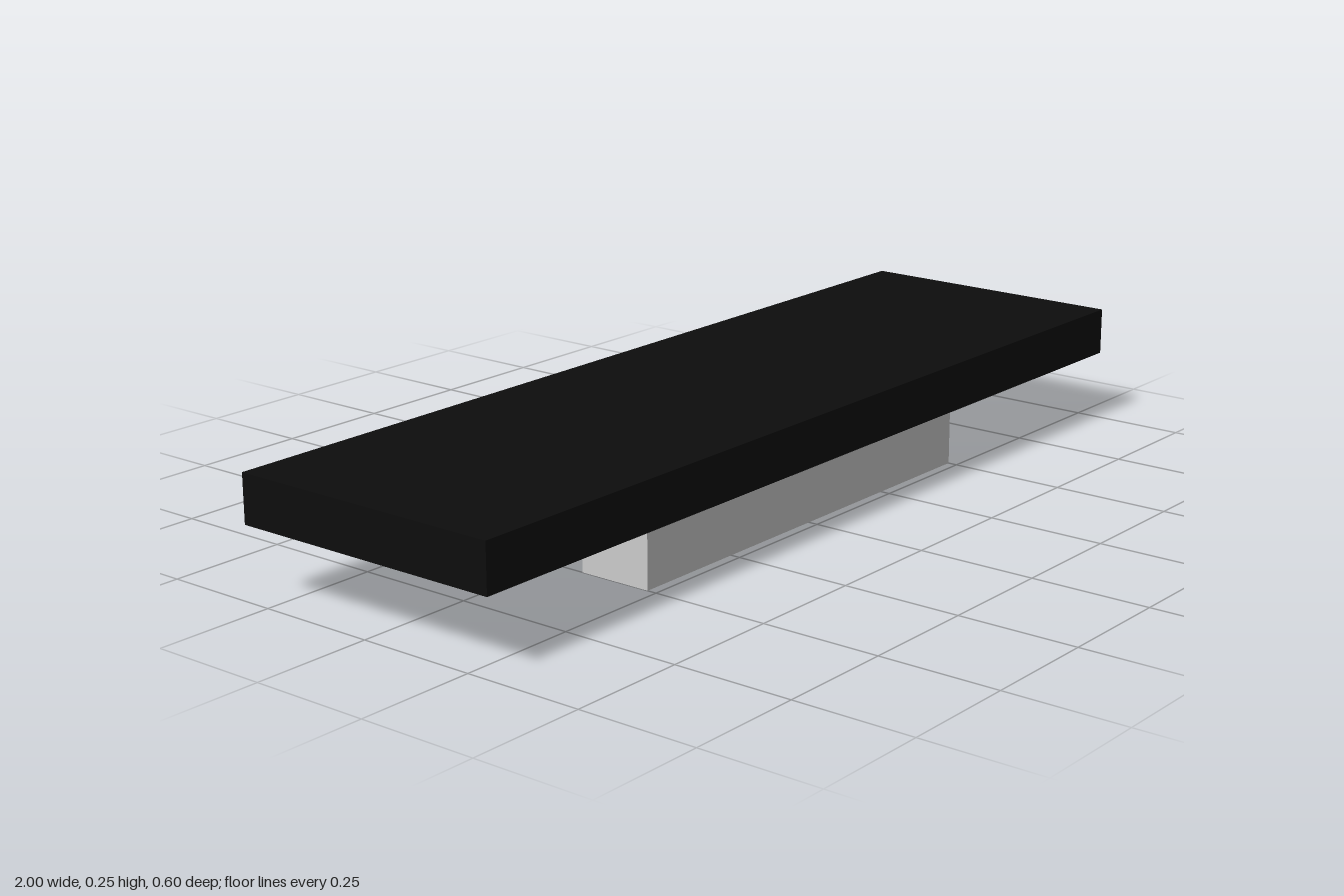
import * as THREE from 'three';

const blackFinish = new THREE.MeshStandardMaterial({ color: 0x0d0d0d });
const lightGrey = new THREE.MeshStandardMaterial({ color: 0xcccccc });

// Box named after its part, resting with its underside at y
function box(name, material, [w, h, d], [x, y, z]) {
  const mesh = new THREE.Mesh(new THREE.BoxGeometry(w, h, d), material);
  mesh.name = name;
  mesh.position.set(x, y + h / 2, z);
  return mesh;
}

export function createModel() {
  const model = new THREE.Group();
  model.name = 'shelf';

  // Flat slab on top
  model.add(box('shelfBoard', blackFinish, [2, 0.1, 0.6], [0, 0.15, 0]));

  // Block under the slab, set towards the front
  model.add(box('supportBlock', lightGrey, [1, 0.15, 0.16], [0, 0, 0.15]));

  return model;
}
